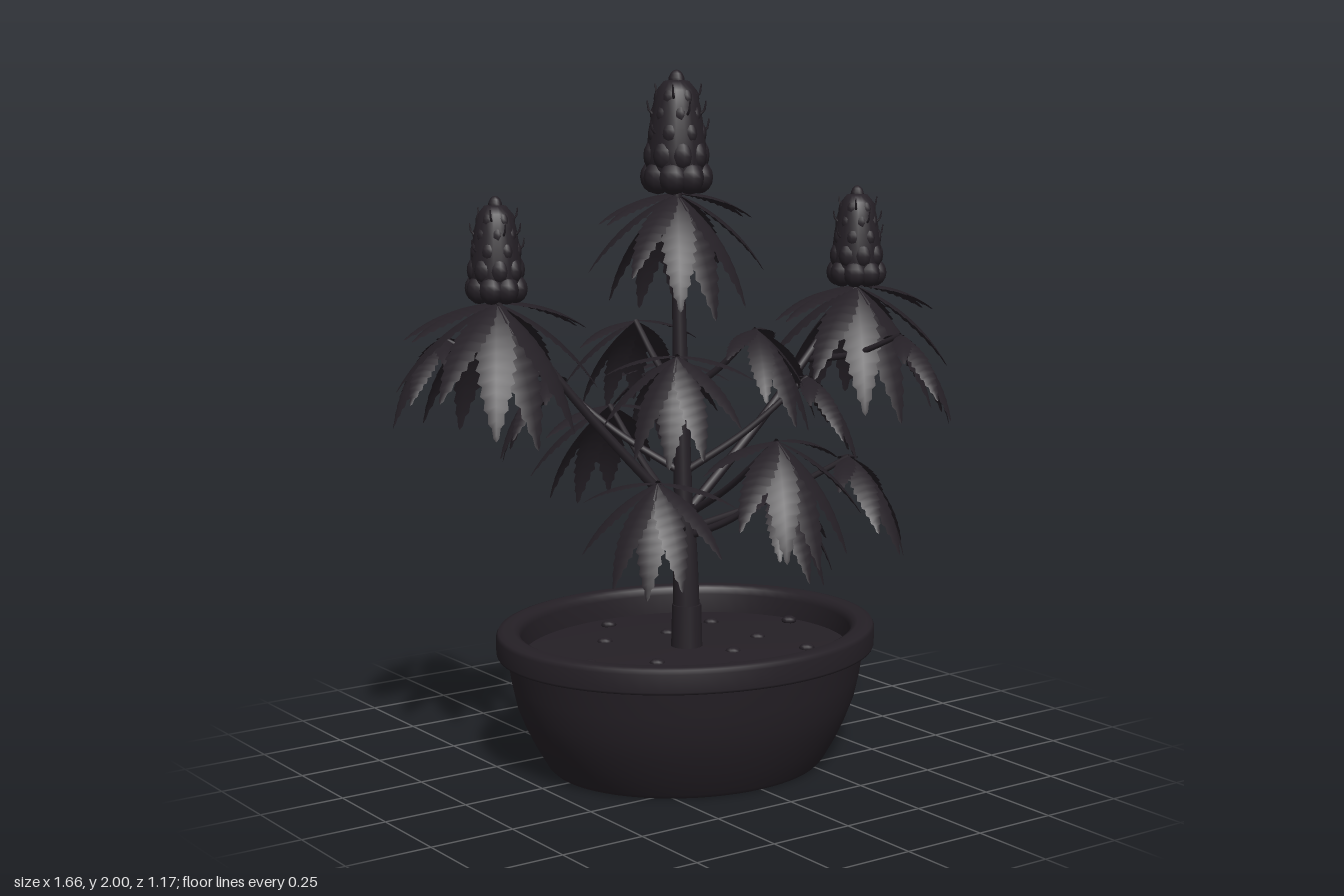
import * as THREE from 'three';
import { mergeGeometries } from 'three/addons/utils/BufferGeometryUtils.js';

const material = new THREE.MeshStandardMaterial({ color: 0x252026, side: THREE.DoubleSide });
const V = (x, y, z) => new THREE.Vector3(x, y, z);
const stemZ = (y) => -0.05 * Math.max(0, (y - 0.3) / 1.35);

function add(parent, name, geometry) {
  const mesh = new THREE.Mesh(geometry, material);
  mesh.name = name;
  parent.add(mesh);
  return mesh;
}

function lathe(points, segments) {
  return new THREE.LatheGeometry(points.map(([r, y]) => new THREE.Vector2(r, y)), segments);
}

// Tube whose radius shrinks from r0 to r1
function taperedTube(points, r0, r1, segments = 14, sides = 8) {
  const curve = new THREE.CatmullRomCurve3(points);
  const geometry = new THREE.TubeGeometry(curve, segments, 1, sides);
  const pos = geometry.attributes.position;
  const centre = V(), p = V();
  for (let i = 0; i < pos.count; i++) {
    const t = Math.floor(i / (sides + 1)) / segments;
    curve.getPointAt(t, centre);
    p.fromBufferAttribute(pos, i).sub(centre).multiplyScalar(r0 + (r1 - r0) * t).add(centre);
    pos.setXYZ(i, p.x, p.y, p.z);
  }
  return geometry;
}

// Saw-toothed leaflet, folded along its midrib and drooping towards the tip
function leaflet(angle) {
  const side = (angle / 95) ** 2;
  const length = 0.45 - 0.15 * side;
  const width = 0.056 - 0.014 * side;
  const startPitch = THREE.MathUtils.degToRad(-42 + 43 * side);
  const endPitch = THREE.MathUtils.degToRad(-82 + 45 * side);
  const rows = 22, positions = [], index = [];
  let z = 0, y = 0;
  for (let i = 0; i <= rows; i++) {
    const t = i / rows;
    const pitch = startPitch + (endPitch - startPitch) * t;
    const outline = Math.pow(Math.sin(Math.PI * Math.pow(t, 0.8)), 0.9) || 0;
    const w = Math.max(0.002 * (1 - t), width * outline * (i % 2 ? 1.06 : 0.84));
    const sweep = i % 2 ? 0.008 : 0;
    const fold = w * 0.25;
    for (const s of [-1, 0, 1]) {
      const k = Math.abs(s);
      positions.push(s * w,
        y + k * (sweep * Math.sin(pitch) - fold * Math.cos(pitch)),
        z + k * (sweep * Math.cos(pitch) + fold * Math.sin(pitch)));
    }
    if (i < rows) {
      const a = i * 3;
      for (const q of [a, a + 1]) index.push(q, q + 3, q + 1, q + 1, q + 3, q + 4);
    }
    z += Math.cos(pitch) * length / rows;
    y += Math.sin(pitch) * length / rows;
  }
  const geometry = new THREE.BufferGeometry();
  geometry.setAttribute('position', new THREE.Float32BufferAttribute(positions, 3));
  geometry.setIndex(index);
  geometry.rotateY(THREE.MathUtils.degToRad(angle));
  geometry.computeVertexNormals();
  return geometry;
}

// Bud: tapering core, round pods at the foot, flatter ones above, hairs and a tip
function makeBud() {
  const bud = new THREE.Group();
  bud.name = 'bud';
  add(bud, 'budCore', lathe([[0, 0], [0.06, 0.01], [0.085, 0.05], [0.083, 0.12],
    [0.076, 0.18], [0.066, 0.24], [0.054, 0.285], [0.035, 0.308], [0, 0.315]], 20));
  const pods = [], hairs = [];
  const rings = [[0.046, 0.062, 0.04, 8], [0.105, 0.06, 0.033, 8], [0.165, 0.058, 0.025, 7],
    [0.215, 0.049, 0.024, 7], [0.26, 0.04, 0.023, 6]];
  rings.forEach(([y, r, size, count], ring) => {
    for (let i = 0; i < count; i++) {
      const a = ((i + (ring % 2) / 2) / count) * Math.PI * 2;
      pods.push(new THREE.SphereGeometry(size, 10, 8).scale(1, ring ? 1.4 : 1.15, 1)
        .translate(Math.sin(a) * r, y, Math.cos(a) * r));
      if (ring > 1 && (i + ring) % 2) {
        const at = (d, h) => V(Math.sin(a + 0.3) * (r + d), y + h, Math.cos(a + 0.3) * (r + d));
        hairs.push(taperedTube([at(0.01, 0), at(0.028, 0.012), at(0.034, 0.04)], 0.005, 0.002, 4, 5));
      }
    }
  });
  pods.push(new THREE.SphereGeometry(0.023, 10, 8).scale(1, 1.5, 1).translate(0, 0.305, 0));
  add(bud, 'budPods', mergeGeometries(pods));
  add(bud, 'budHairs', mergeGeometries(hairs));
  return bud;
}

export function createModel() {
  const model = new THREE.Group();
  model.name = 'pottedPlant';

  // Oval pot, open underneath, with soil and pebbles
  const pot = new THREE.Group();
  pot.name = 'pot';
  pot.scale.z = 0.886;
  model.add(pot);
  add(pot, 'potWall', lathe([[0.41, 0], [0.422, 0.012], [0.457, 0.07], [0.487, 0.13], [0.511, 0.19],
    [0.527, 0.26], [0.539, 0.338]], 64));
  add(pot, 'potRim', lathe([[0.535, 0.338], [0.568, 0.338], [0.571, 0.345], [0.571, 0.395], [0.565, 0.406],
    [0.55, 0.41], [0.52, 0.41], [0.505, 0.403], [0.497, 0.385], [0.495, 0.32]], 64));
  add(pot, 'soil', lathe([[0.525, 0.325], [0.48, 0.33], [0.3, 0.338], [0, 0.342]], 48));
  for (let i = 0; i < 12; i++) {
    const a = i * 2.4 + 0.5, r = 0.16 + 0.026 * i;
    const pebble = add(pot, 'pebble', new THREE.SphereGeometry(0.024, 10, 6));
    pebble.scale.y = 0.55;
    pebble.position.set(Math.sin(a) * r, 0.338, Math.cos(a) * r);
  }

  // Main stem with a thicker foot
  add(model, 'stemFoot', new THREE.CylinderGeometry(0.043, 0.047, 0.15, 16).translate(0, 0.39, 0));
  add(model, 'lowerStem', taperedTube([V(0, 0.32, 0), V(0, 0.55, -0.005), V(0, 0.76, stemZ(0.76))], 0.042, 0.033, 10, 14));
  add(model, 'upperStem', taperedTube([V(0, 0.72, stemZ(0.72)), V(0, 1.2, stemZ(1.2)), V(0, 1.68, stemZ(1.68))], 0.028, 0.015, 14, 12));

  const leafGeometry = mergeGeometries([-95, -64, -32, 0, 32, 64, 95].map(leaflet));
  function addLeaf(p, yaw, size) {
    const leaf = add(model, 'fanLeaf', leafGeometry);
    leaf.position.copy(p);
    leaf.rotation.y = yaw;
    leaf.scale.setScalar(size);
  }
  function addBranch(name, from, to, r0, r1) {
    const mid = from.clone().lerp(to, 0.5);
    mid.y -= 0.02;
    add(model, name, taperedTube([from, mid, to], r0, r1));
  }

  // Three flowering tops, each over a front and a back leaf
  const tops = [[0, 1.655, -0.05, 1.03, 0.9], [-0.55, 1.37, -0.135, 0.87, 1], [0.55, 1.37, 0.09, 0.87, 1]];
  for (const [x, y, z, budSize, leafSize] of tops) {
    const p = V(x, y, z);
    const bud = makeBud();
    bud.position.copy(p);
    bud.scale.setScalar(budSize);
    model.add(bud);
    addLeaf(p, 0, leafSize);
    addLeaf(p, Math.PI, leafSize);
    if (x) addBranch('sideBranch', V(0, 0.72, stemZ(0.72)), p, 0.016, 0.011);
  }

  // Fan leaves on stalks: x, y, z, size, height where the stalk leaves the stem
  const leaves = [
    [0, 1.0, -0.4, 0.86, 0.72], [0.02, 1.0, 0.4, 0.86, 0.72],
    [-0.33, 0.91, 0.33, 0.75, 0.68], [0.35, 0.91, 0.31, 0.75, 0.68],
    [0.14, 0.83, 0.24, 0.7, 0.66], [-0.3, 1.13, -0.26, 0.66, 0.85],
    [0.18, 1.12, -0.36, 0.68, 0.85], [0.3, 1.13, 0.18, 0.66, 0.85],
    [0.12, 1.28, 0.17, 0.74, 1.08], [-0.14, 1.22, 0.15, 0.76, 1.02],
    [0, 1.27, -0.26, 0.74, 1.08],
  ];
  for (const [x, y, z, size, base] of leaves) {
    const p = V(x, y, z);
    addBranch('leafStalk', V(0, base, stemZ(base)), p, 0.012, 0.008);
    addLeaf(p, Math.atan2(x, z), size);
  }

  // Leaves growing off the two side branches
  for (const [x, y, z, bx, bz] of [[-0.59, 1.25, -0.37, -0.4, -0.1], [0.52, 1.25, 0.33, 0.4, 0.06]]) {
    const p = V(x, y, z);
    addBranch('leafStalk', V(bx, 1.16, bz), p, 0.011, 0.007);
    addLeaf(p, Math.atan2(x, z), 0.68);
  }
  return model;
}
